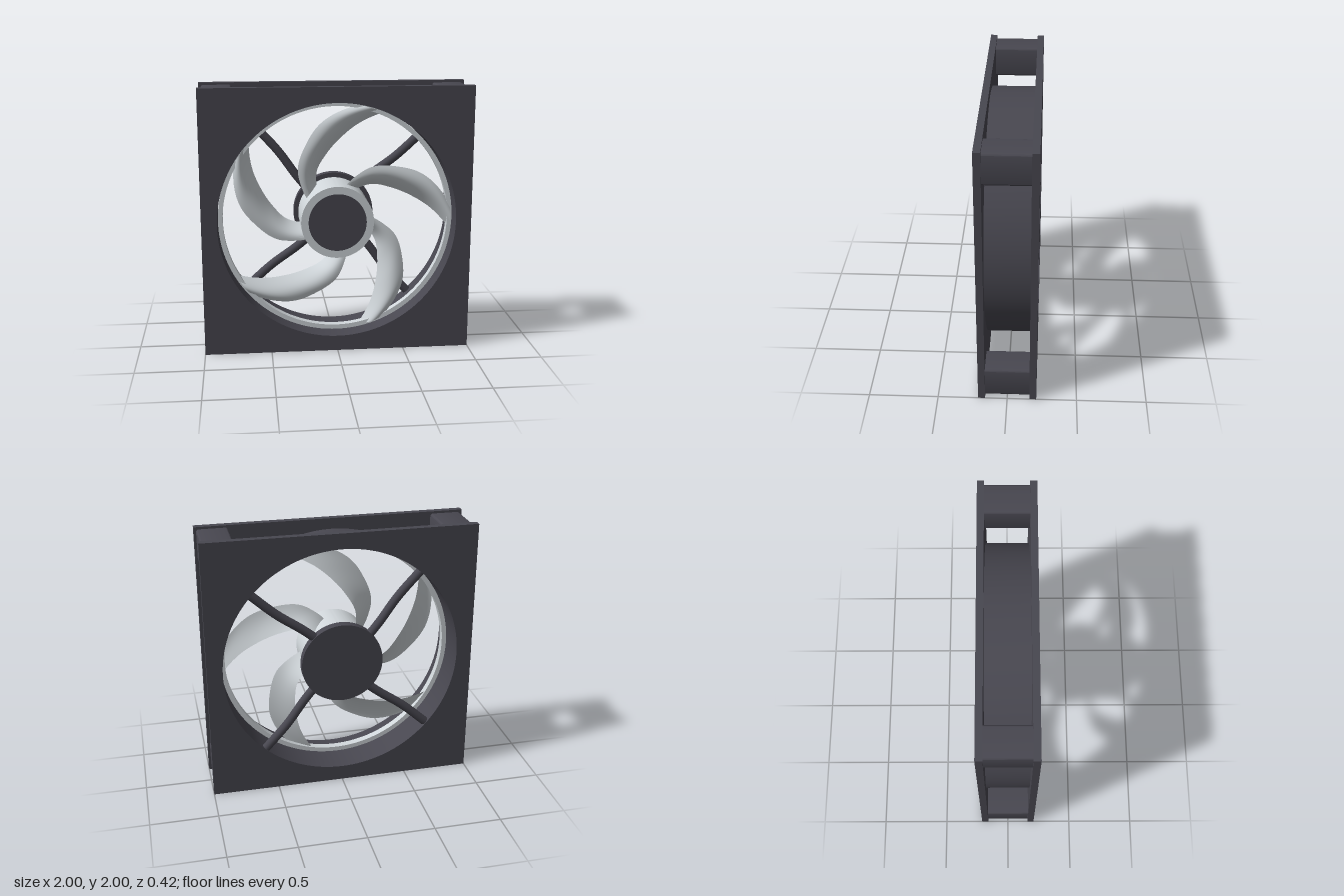
import * as THREE from 'three';
import { toCreasedNormals } from 'three/addons/utils/BufferGeometryUtils.js';

const charcoal = new THREE.MeshStandardMaterial({ color: 0x484750 });
charcoal.name = 'charcoal';
const paleGrey = new THREE.MeshStandardMaterial({ color: 0xd0d6da });
paleGrey.name = 'paleGrey';

const HOLE = 0.885;

function add(parent, name, geometry, material) {
  const mesh = new THREE.Mesh(geometry, material);
  mesh.name = name;
  parent.add(mesh);
  return mesh;
}

// Extrudes an outline (with an optional round hole) from z0 to z1
function slab(shape, holeRadius, z0, z1) {
  if (holeRadius) {
    const hole = new THREE.Path();
    hole.absarc(0, 0, holeRadius, 0, Math.PI * 2, true);
    shape.holes.push(hole);
  }
  const geo = new THREE.ExtrudeGeometry(shape, { depth: z1 - z0, bevelEnabled: false, curveSegments: 96 });
  geo.translate(0, 0, z0);
  return toCreasedNormals(geo, 0.5);
}

function disc(radius) {
  const shape = new THREE.Shape();
  shape.absarc(0, 0, radius, 0, Math.PI * 2, false);
  return shape;
}

function square(x0, x1, r) {
  const s = new THREE.Shape();
  if (!r) {
    s.moveTo(x0, x0).lineTo(x1, x0).lineTo(x1, x1).lineTo(x0, x1);
    return s;
  }
  const q = Math.PI / 2;
  s.absarc(x1 - r, x0 + r, r, -q, 0, false);
  s.absarc(x1 - r, x1 - r, r, 0, q, false);
  s.absarc(x0 + r, x1 - r, r, q, 2 * q, false);
  s.absarc(x0 + r, x0 + r, r, 2 * q, 3 * q, false);
  return s;
}

// Swept blade: airfoil sections at growing radius.
// Each point holds radius, leading angle and trailing angle in degrees.
function bladeGeometry() {
  const sweep = new THREE.CatmullRomCurve3([
    [0.24, 147, 122], [0.36, 136, 112], [0.47, 127, 98.5],
    [0.6, 112, 86], [0.73, 98.5, 76], [0.868, 78.5, 65.5],
  ].map((p) => new THREE.Vector3(...p)));
  const rows = 32, half = 12, n = half * 2;
  const pos = [], index = [];
  for (let j = 0; j <= rows; j++) {
    const t = j / rows;
    const s = sweep.getPoint(t);
    const zLead = 0.06, zTrail = THREE.MathUtils.lerp(-0.07, 0.035, t);
    for (let i = 0; i < n; i++) {
      const front = i <= half;
      const u = front ? i / half : (n - i) / half;
      const a = THREE.MathUtils.degToRad(THREE.MathUtils.lerp(s.y, s.z, u));
      const bulge = Math.sin(Math.PI * u);
      const z = THREE.MathUtils.lerp(zLead, zTrail, u) + bulge * (front ? 0.04 : 0.008);
      pos.push(s.x * Math.cos(a), s.x * Math.sin(a), z);
    }
  }
  for (let j = 0; j < rows; j++) {
    for (let i = 0; i < n; i++) {
      const a = j * n + i, b = j * n + (i + 1) % n;
      index.push(a, b, b + n, a, b + n, a + n);
    }
  }
  // tip cap
  const tip = rows * n;
  for (let i = 1; i < n - 1; i++) index.push(tip, tip + i, tip + i + 1);
  const geo = new THREE.BufferGeometry();
  geo.setAttribute('position', new THREE.Float32BufferAttribute(pos, 3));
  geo.setIndex(index);
  return toCreasedNormals(geo, 0.8);
}

export function createModel() {
  const model = new THREE.Group();
  model.name = 'coolingFan';
  const fan = new THREE.Group();
  fan.name = 'fanBody';
  fan.position.y = 1;
  model.add(fan);

  // Housing: two square plates, round duct and corner blocks
  const housing = new THREE.Group();
  housing.name = 'housing';
  fan.add(housing);
  add(housing, 'frontPlate', slab(square(-1, 1), HOLE, 0.16, 0.21), charcoal);
  add(housing, 'backPlate', slab(square(-1, 1), HOLE, -0.21, -0.16), charcoal);
  add(housing, 'duct', slab(disc(0.92), HOLE, -0.16, 0.16), charcoal);
  const block = slab(square(0.755, 0.983, 0.02), 0, -0.16, 0.16);
  for (let i = 0; i < 4; i++) {
    add(housing, 'cornerBlock', block, charcoal).rotation.z = i * Math.PI / 2;
  }

  // Motor mount and its four slightly bent struts
  add(housing, 'motorMount', slab(disc(0.305), 0, -0.21, -0.145), charcoal);
  const strutPath = new THREE.CatmullRomCurve3([
    [0.15, 0.17], [0.29, 0.284], [0.477, 0.418], [0.675, 0.595],
  ].map(([x, y]) => new THREE.Vector3(x, y, -0.172)));
  const strut = new THREE.TubeGeometry(strutPath, 24, 0.033, 14);
  for (let i = 0; i < 4; i++) {
    add(housing, 'strut', strut, charcoal).rotation.z = i * Math.PI / 2;
  }

  // Rotor: hub, cap, outer ring and five blades
  const rotor = new THREE.Group();
  rotor.name = 'rotor';
  fan.add(rotor);
  add(rotor, 'hub', slab(disc(0.27), 0, -0.145, 0.2), paleGrey);
  add(rotor, 'hubCap', slab(disc(0.215), 0, 0.199, 0.204), charcoal);
  add(rotor, 'outerRing', slab(disc(0.88), 0.845, 0.02, 0.075), paleGrey);
  const blade = bladeGeometry();
  for (let i = 0; i < 5; i++) {
    add(rotor, 'blade', blade, paleGrey).rotation.z = i * Math.PI * 2 / 5;
  }
  return model;
}
